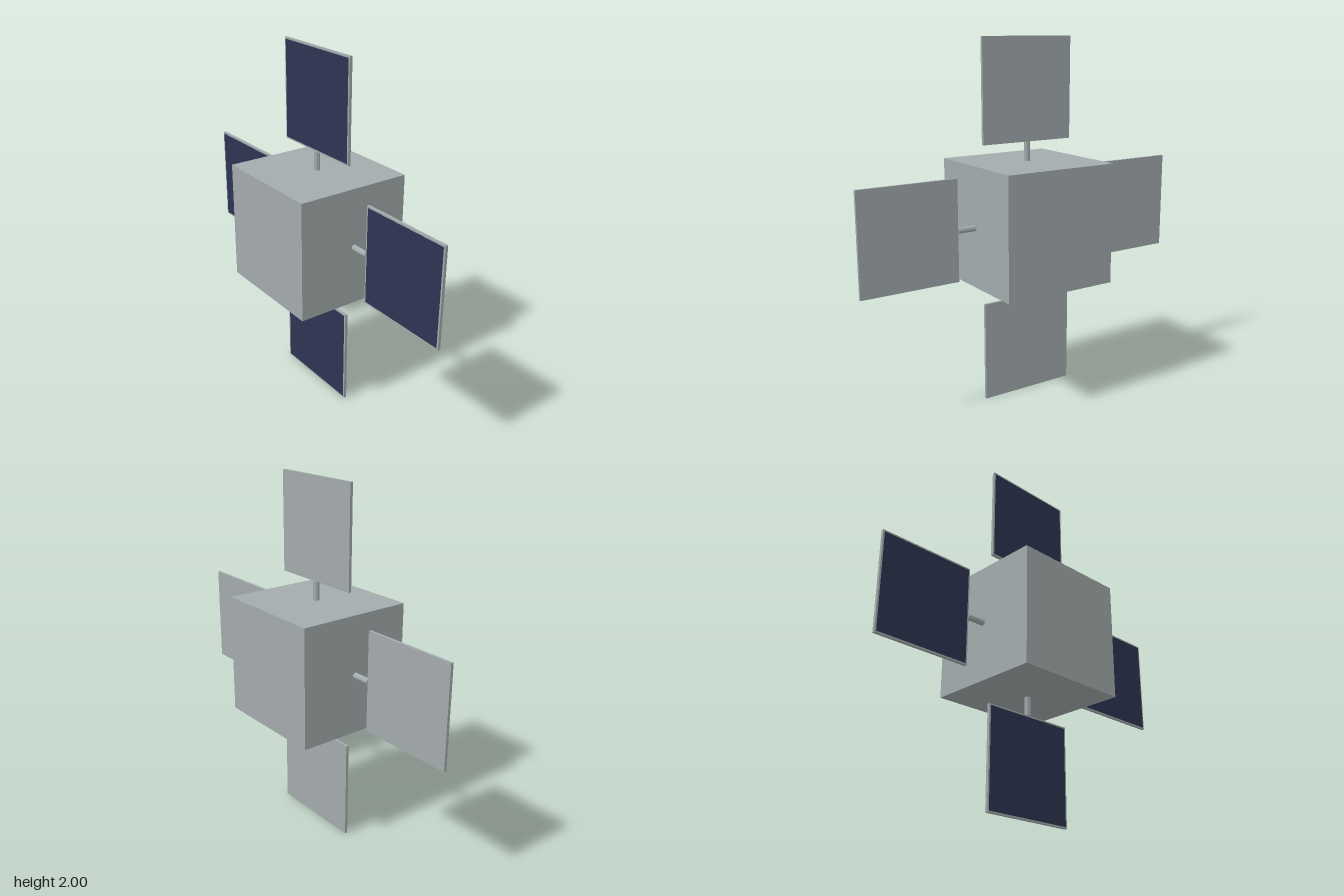
import * as THREE from 'three';

export function createModel() {
  const model = new THREE.Group();
  const grey = new THREE.MeshStandardMaterial({ name: 'hull grey', color: 0xa3abad });
  const blue = new THREE.MeshStandardMaterial({ name: 'solar cell blue', color: 0x2e3552 });
  grey.flatShading = true;

  const BODY = 0.667, PANEL = 0.56, THICK = 0.016, REACH = 1;

  const add = (parent, name, geometry, material, x, y, z) => {
    const mesh = new THREE.Mesh(geometry, material);
    mesh.name = name;
    mesh.position.set(x, y, z);
    parent.add(mesh);
  };

  // Central cube
  add(model, 'body', new THREE.BoxGeometry(BODY, BODY, BODY), grey, 0, 1, 0);

  // Four wings around the body, each a strut, a panel and its front cell sheet
  const strutStart = BODY / 2, strutEnd = REACH - PANEL;
  const strutGeo = new THREE.CylinderGeometry(0.017, 0.017, strutEnd - strutStart, 8);
  const panelGeo = new THREE.BoxGeometry(PANEL, PANEL, THICK);
  const cellGeo = new THREE.PlaneGeometry(PANEL - 0.018, PANEL - 0.018);

  ['top', 'left', 'bottom', 'right'].forEach((side, i) => {
    const wing = new THREE.Group();
    wing.name = side + 'Wing';
    const centre = REACH - PANEL / 2;
    add(wing, side + 'Strut', strutGeo, grey, 0, (strutStart + strutEnd) / 2, 0);
    add(wing, side + 'Panel', panelGeo, grey, 0, centre, 0);
    add(wing, side + 'SolarCells', cellGeo, blue, 0, centre, THICK / 2 + 0.001);
    wing.position.y = 1;
    wing.rotation.z = -i * Math.PI / 2;
    model.add(wing);
  });

  return model;
}
